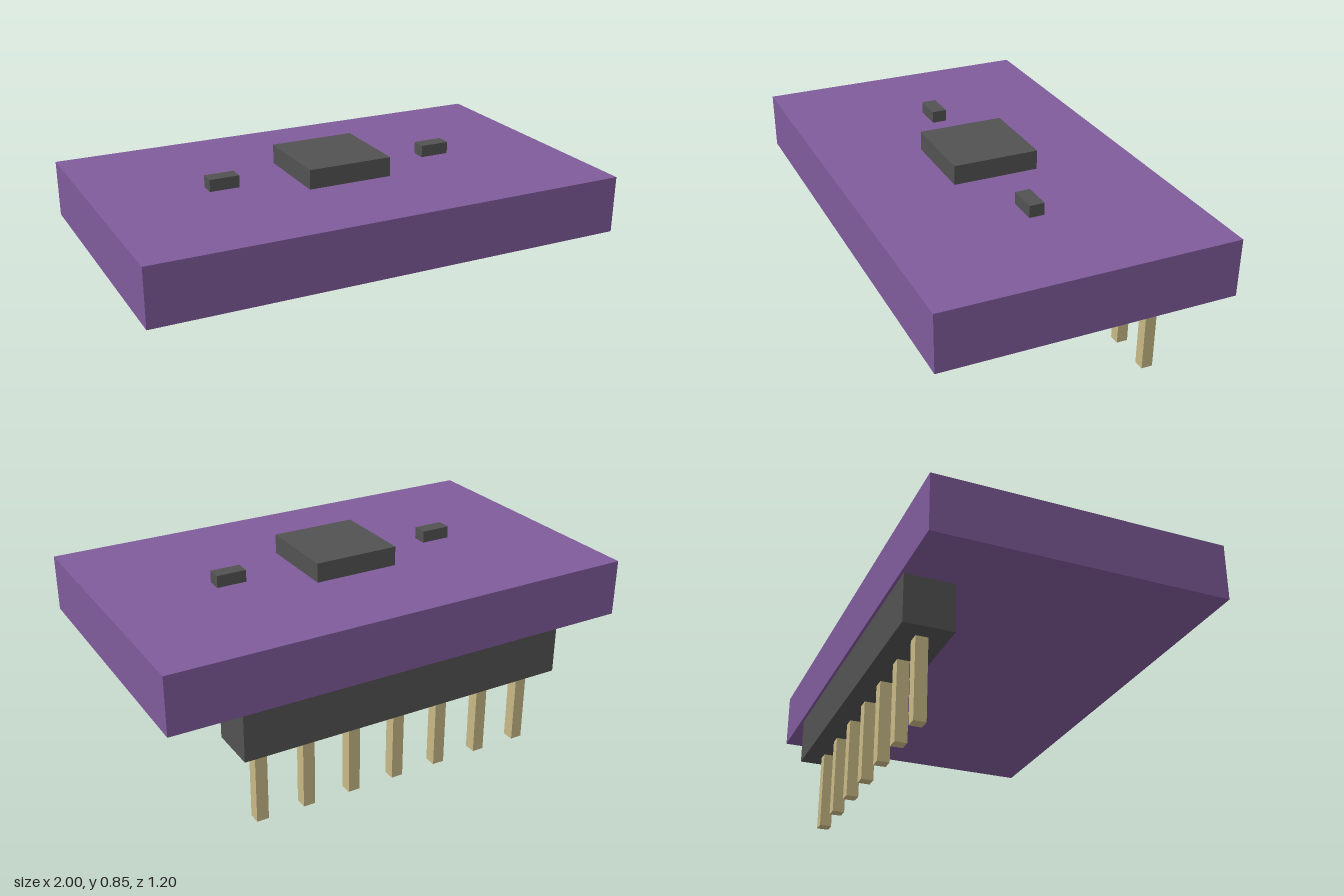
import * as THREE from 'three';

const flat = (name, color) => {
  const material = new THREE.MeshStandardMaterial({ color });
  material.name = name;
  return material;
};

export function createModel() {
  const model = new THREE.Group();
  model.name = 'circuitBoardModule';

  const purple = flat('board purple', 0x805b9b);
  const charcoal = flat('charcoal plastic', 0x525252);
  const gold = flat('pale gold', 0xc6b885);

  // Box placed by its centre in x and z and by its bottom and top in y
  const block = (name, material, width, depth, bottom, top, x = 0, z = 0) => {
    const mesh = new THREE.Mesh(new THREE.BoxGeometry(width, top - bottom, depth), material);
    mesh.name = name;
    mesh.position.set(x, (bottom + top) / 2, z);
    model.add(mesh);
  };

  const boardBottom = 0.535, boardTop = 0.773;
  const headerBottom = 0.335, headerZ = -0.487;

  block('board', purple, 2, 1.2, boardBottom, boardTop);

  // Components on the upper face
  block('chip', charcoal, 0.36, 0.36, boardTop, 0.854);
  for (const side of [-1, 1]) {
    block(side > 0 ? 'leftComponent' : 'rightComponent', charcoal,
      0.125, 0.062, boardTop, 0.823, side * 0.481);
  }

  // Pin header along the back edge, underneath
  block('pinHeader', charcoal, 1.42, 0.203, headerBottom, boardBottom, 0, headerZ);
  for (let i = -3; i <= 3; i++) {
    block('pin', gold, 0.05, 0.05, 0, headerBottom, i * 0.203, headerZ);
  }

  return model;
}
